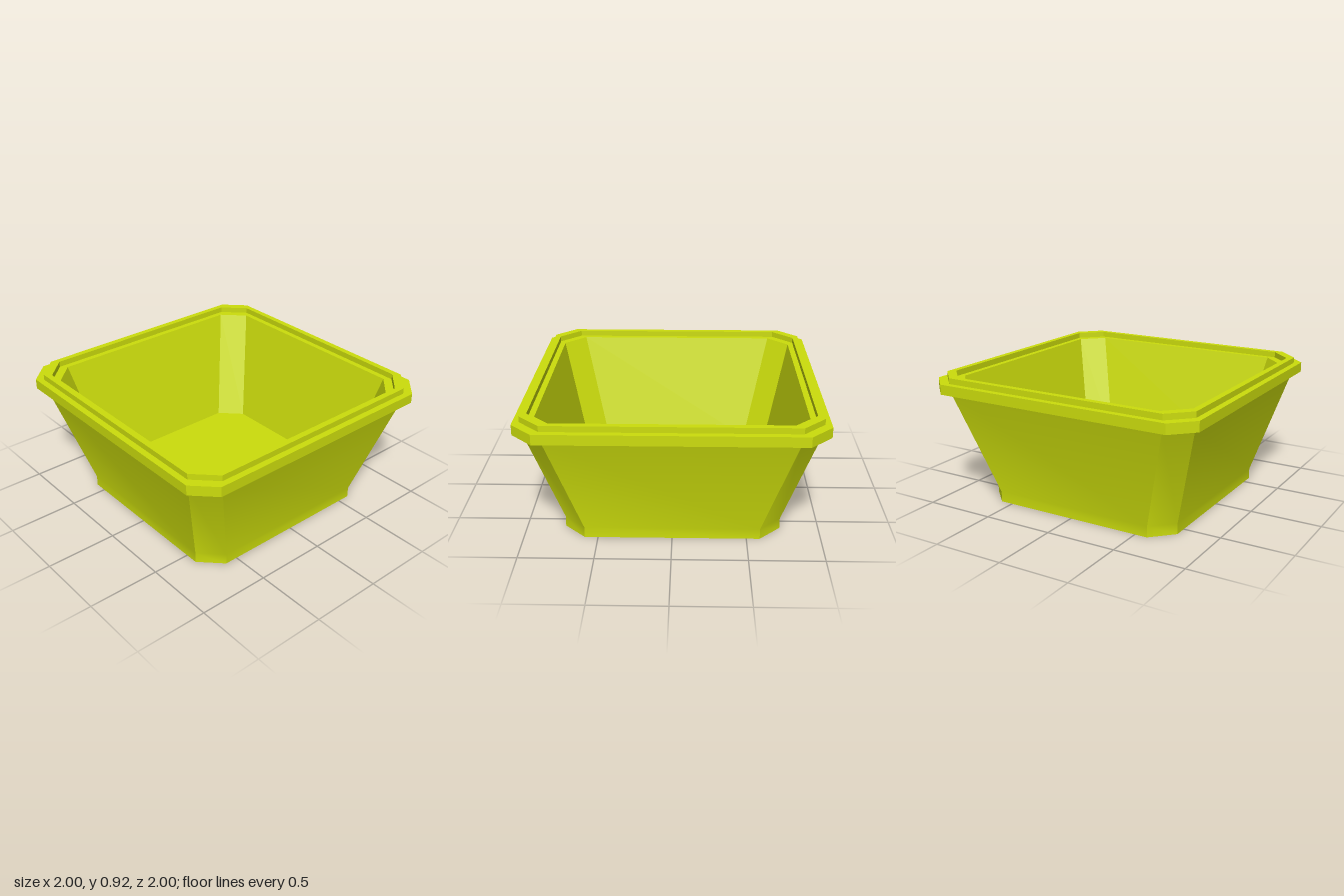
import * as THREE from 'three';
import { toCreasedNormals } from 'three/addons/utils/BufferGeometryUtils.js';

// Square ring with cut corners: h = half width, f = half length of the straight side
function ring([h, f, y]) {
  return [[h, f], [f, h], [-f, h], [-h, f], [-h, -f], [-f, -h], [f, -h], [h, -f]]
    .map(([x, z]) => [x, y, z]);
}

// Skin a list of rings; optionally close the first and last ring
function loft(sections, capStart, capEnd) {
  const rings = sections.map(ring);
  const pos = [];
  const tri = (a, b, c) => pos.push(...a, ...b, ...c);
  for (let r = 0; r + 1 < rings.length; r++) {
    for (let i = 0; i < 8; i++) {
      const j = (i + 1) % 8;
      const a = rings[r][i], b = rings[r][j], c = rings[r + 1][j], d = rings[r + 1][i];
      tri(a, d, c);
      tri(a, c, b);
    }
  }
  const first = rings[0], last = rings[rings.length - 1];
  for (let i = 1; i < 7; i++) {
    if (capStart) tri(first[0], first[i], first[i + 1]);
    if (capEnd) tri(last[0], last[i + 1], last[i]);
  }
  const geo = new THREE.BufferGeometry();
  geo.setAttribute('position', new THREE.Float32BufferAttribute(pos, 3));
  return toCreasedNormals(geo, THREE.MathUtils.degToRad(25));
}

export function createModel() {
  const group = new THREE.Group();
  group.name = 'planter';
  const material = new THREE.MeshStandardMaterial({ color: 0xccdd0c });
  const add = (name, geo) => {
    const mesh = new THREE.Mesh(geo, material);
    mesh.name = name;
    group.add(mesh);
  };

  // Underside, short upright foot and flared outer wall
  add('outerWall', loft([
    [0.735, 0.59, 0], [0.735, 0.59, 0.075], [0.95, 0.805, 0.81],
  ], true, false));

  // Overhanging flange, raised lip and inner ledge
  add('rim', loft([
    [0.95, 0.805, 0.81], [1, 0.855, 0.81], [1, 0.855, 0.88], [0.957, 0.812, 0.88],
    [0.957, 0.812, 0.92], [0.915, 0.768, 0.92], [0.915, 0.768, 0.88], [0.875, 0.727, 0.88],
  ], false, false));

  // Inner wall and floor
  add('innerWall', loft([
    [0.875, 0.727, 0.88], [0.697, 0.552, 0.095],
  ], false, true));

  return group;
}
